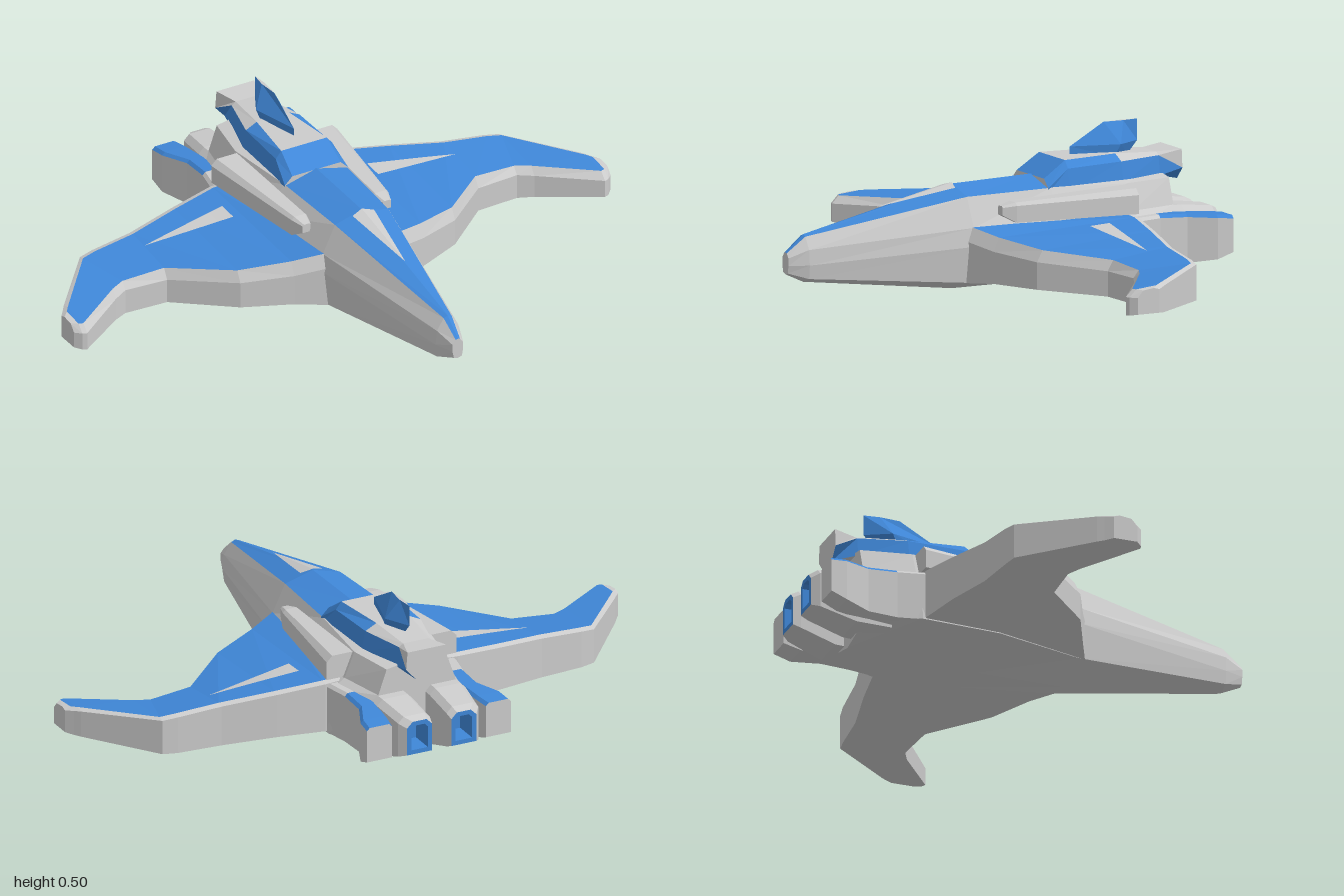
import * as THREE from 'three';

const GREY = new THREE.MeshStandardMaterial({ color: 0xcccccc, flatShading: true });
const BLUE = new THREE.MeshStandardMaterial({ color: 0x3f87d8, flatShading: true });

// Surface through matching rings, each counterclockwise seen from ahead of the first ring.
// isBlue(ring, side) picks the coloured faces.
function loft(name, rings, isBlue = () => false, capStart = true, capEnd = true, capBlue = false) {
  const grey = [], blue = [];
  const n = rings[0].length;
  for (let i = 0; i < rings.length - 1; i++) {
    for (let j = 0; j < n; j++) {
      const k = (j + 1) % n;
      const a = rings[i][j], b = rings[i][k], c = rings[i + 1][k], d = rings[i + 1][j];
      (isBlue(i, j) ? blue : grey).push(a, d, c, a, c, b);
    }
  }
  const first = rings[0], last = rings[rings.length - 1];
  for (let j = 1; j < n - 1; j++) {
    if (capStart) grey.push(first[0], first[j], first[j + 1]);
    if (capEnd) (capBlue ? blue : grey).push(last[0], last[j + 1], last[j]);
  }
  return build(name, grey, blue);
}

function build(name, grey, blue) {
  const group = new THREE.Group();
  group.name = name;
  for (const [points, material, label] of [[grey, GREY, 'Shell'], [blue, BLUE, 'Panels']]) {
    if (!points.length) continue;
    const geo = new THREE.BufferGeometry();
    geo.setAttribute('position', new THREE.Float32BufferAttribute(points.flat(), 3));
    geo.computeVertexNormals();
    const mesh = new THREE.Mesh(geo, material);
    mesh.name = name + label;
    group.add(mesh);
  }
  return group;
}

// Copy reflected across x = 0, with the triangle order turned round
function mirrored(part) {
  const copy = part.clone();
  copy.name = part.name.replace('left', 'right');
  copy.children.forEach((mesh) => {
    mesh.name = mesh.name.replace('left', 'right');
    mesh.geometry = mesh.geometry.clone();
    const p = mesh.geometry.attributes.position;
    for (let t = 0; t < p.count; t += 3) {
      const v = [0, 2, 1].map((o) => [-p.getX(t + o), p.getY(t + o), p.getZ(t + o)]);
      v.forEach((q, o) => p.setXYZ(t + o, ...q));
    }
    mesh.geometry.computeVertexNormals();
  });
  return copy;
}

// Full ring from its right-hand half, listed bottom to top
function symRing(z, half) {
  const right = half.map(([x, y]) => [x, y, z]);
  const left = half.filter(([x]) => x > 0).map(([x, y]) => [-x, y, z]).reverse();
  return [...right, ...left];
}

// Box ring with bevelled top corners
function boxRing(z, x0, x1, y0, y1, c = 0.02) {
  return [[x0, y0, z], [x1, y0, z], [x1, y1 - c, z], [x1 - c, y1, z], [x0 + c, y1, z], [x0, y1 - c, z]];
}

export function createModel() {
  const model = new THREE.Group();
  model.name = 'spacecraft';
  const addPair = (part) => model.add(part, mirrored(part));

  // Fuselage: keel, chine, waist, shoulder, roof edge, ridge
  const hull = [
    [0.765, [[0, 0.1], [0.015, 0.105], [0.02, 0.13], [0.02, 0.155], [0.008, 0.17], [0, 0.172]]],
    [0.7, [[0, 0.07], [0.04, 0.085], [0.045, 0.13], [0.04, 0.18], [0.015, 0.22], [0, 0.226]]],
    [0.15, [[0, 0], [0.145, 0.04], [0.155, 0.16], [0.145, 0.22], [0.1, 0.315], [0, 0.343]]],
    [-0.15, [[0, 0], [0.22, 0.045], [0.2, 0.17], [0.18, 0.225], [0.115, 0.32], [0, 0.35]]],
    [-0.42, [[0, 0], [0.235, 0.045], [0.22, 0.2], [0.175, 0.23], [0.14, 0.315], [0, 0.35]]],
    [-0.59, [[0, 0.015], [0.16, 0.05], [0.165, 0.2], [0.14, 0.23], [0.11, 0.315], [0, 0.335]]],
  ];
  model.add(loft('fuselage', hull.map(([z, h]) => symRing(z, h)),
    (i, j) => i < 3 && (j === 4 || j === 5)));

  // Pale arrow on the nose roof
  const arrow = [];
  for (const s of [1, -1]) {
    const tri = [[0, 0.347, 0.15], [0.04 * s, 0.336, 0.16], [0, 0.29, 0.43]];
    arrow.push(...(s > 0 ? [tri[0], tri[2], tri[1]] : tri));
  }
  model.add(build('noseArrow', arrow, []));

  // Raised canopy and spine
  const spine = [
    [-0.14, [[0.115, 0.3], [0.118, 0.32], [0.09, 0.347]]],
    [-0.22, [[0.12, 0.3], [0.105, 0.375], [0.085, 0.4]]],
    [-0.42, [[0.115, 0.31], [0.1, 0.38], [0.06, 0.4]]],
    [-0.58, [[0.07, 0.315], [0.06, 0.38], [0.045, 0.39]]],
    [-0.66, [[0.04, 0.295], [0.075, 0.335], [0.07, 0.395]]],
  ];
  model.add(loft('canopySpine', spine.map(([z, h]) => symRing(z, h)),
    (i, j) => i === 0 ? j !== 5 : (j === 0 || j === 4 || (i < 2 && (j === 1 || j === 3)))));

  // Tail fin: diamond sections from tip to root [y, front, middle, back, half width]
  const fin = [[0.495, -0.41, -0.48, -0.535, 0.006], [0.425, -0.285, -0.45, -0.535, 0.045],
    [0.385, -0.285, -0.43, -0.5, 0.035]];
  model.add(loft('tailFin', fin.map(([y, f, m, b, w]) => [[0, y, f], [w, y, m], [0, y, b], [-w, y, m]]),
    () => true, true, true, true));

  // Wings: [x, leading z, trailing z, bottom y, leading y, panel front y, panel back y, rim]
  const stations = [
    [0.13, 0.18, -0.41, 0.04, 0.18, 0.225, 0.228, 0.02],
    [0.24, 0.13, -0.41, 0.05, 0.155, 0.2, 0.222, 0.02],
    [0.4, 0.06, -0.38, 0.05, 0.14, 0.178, 0.205, 0.02],
    [0.58, -0.1, -0.34, 0.042, 0.125, 0.16, 0.185, 0.02],
    [0.73, -0.11, -0.325, 0.04, 0.125, 0.15, 0.172, 0.02],
    [0.78, -0.085, -0.315, 0.042, 0.12, 0.148, 0.166, 0.02],
    [0.965, 0.05, -0.1, 0.055, 0.115, 0.14, 0.15, 0.025],
    [0.98, 0.045, -0.08, 0.056, 0.115, 0.14, 0.147, 0.025],
    [1, 0.025, -0.055, 0.06, 0.115, 0.138, 0.143, 0.02],
  ];
  const wingRings = stations.map(([x, zl, zt, yb, yl, yf, yr, r]) => [
    [x, yb, zl], [x, yl, zl], [x, yf, zl - r], [x, yr, zt + r], [x, yr - 0.006, zt], [x, yb, zt]]);
  addPair(loft('leftWing', wingRings, (i, j) => j === 2 && i < 7));

  // Pale wedge on each wing, following the panel height
  const wingTop = (x, z) => {
    let i = 0;
    while (i < stations.length - 2 && stations[i + 1][0] < x) i++;
    const t = (x - stations[i][0]) / (stations[i + 1][0] - stations[i][0]);
    const [, zl, zt, , , yf, yr, r] = stations[i].map((v, k) => v + t * (stations[i + 1][k] - v));
    return yf + (yr - yf) * (zl - r - z) / (zl - zt - 2 * r) + 0.004;
  };
  const wedge = [];
  for (let k = 0; k < 6; k++) {
    const at = (u, s) => {
      const x = 0.27 + 0.31 * u, z = -0.245 + s * 0.036 * (1 - u);
      return [x, wingTop(x, z), z];
    };
    const u = k / 6, v = (k + 1) / 6;
    wedge.push(at(u, 1), at(v, 1), at(v, -1), at(u, 1), at(v, -1), at(u, -1));
  }
  addPair(build('leftWingWedge', wedge, []));

  // Shoulder pods flaring towards the back
  addPair(loft('leftShoulderPod', [
    boxRing(0.055, 0.135, 0.165, 0.255, 0.285, 0.005),
    boxRing(0.01, 0.12, 0.18, 0.23, 0.295, 0.01),
    boxRing(-0.41, 0.12, 0.235, 0.23, 0.312),
  ]));

  // Engines with recessed coloured exhausts
  addPair(loft('leftEngine', [
    boxRing(-0.5, 0.03, 0.165, 0.03, 0.23),
    boxRing(-0.62, 0.03, 0.16, 0.035, 0.228),
    boxRing(-0.74, 0.03, 0.145, 0.075, 0.212),
    boxRing(-0.765, 0.035, 0.125, 0.085, 0.2),
    boxRing(-0.765, 0.05, 0.11, 0.1, 0.185, 0.012),
    boxRing(-0.68, 0.05, 0.11, 0.1, 0.185, 0.012),
  ], (i) => i >= 3, true, true, true));

  // Outboard stabilisers
  addPair(loft('leftStabiliser', [
    boxRing(-0.4, 0.14, 0.235, 0.045, 0.215, 0.01),
    boxRing(-0.5, 0.14, 0.215, 0.045, 0.215, 0.01),
    boxRing(-0.6, 0.15, 0.215, 0.05, 0.21, 0.01),
    boxRing(-0.69, 0.16, 0.255, 0.06, 0.205, 0.01),
    boxRing(-0.745, 0.17, 0.26, 0.08, 0.2, 0.01),
  ], (i, j) => i > 0 && j >= 2 && j <= 4));

  return model;
}
